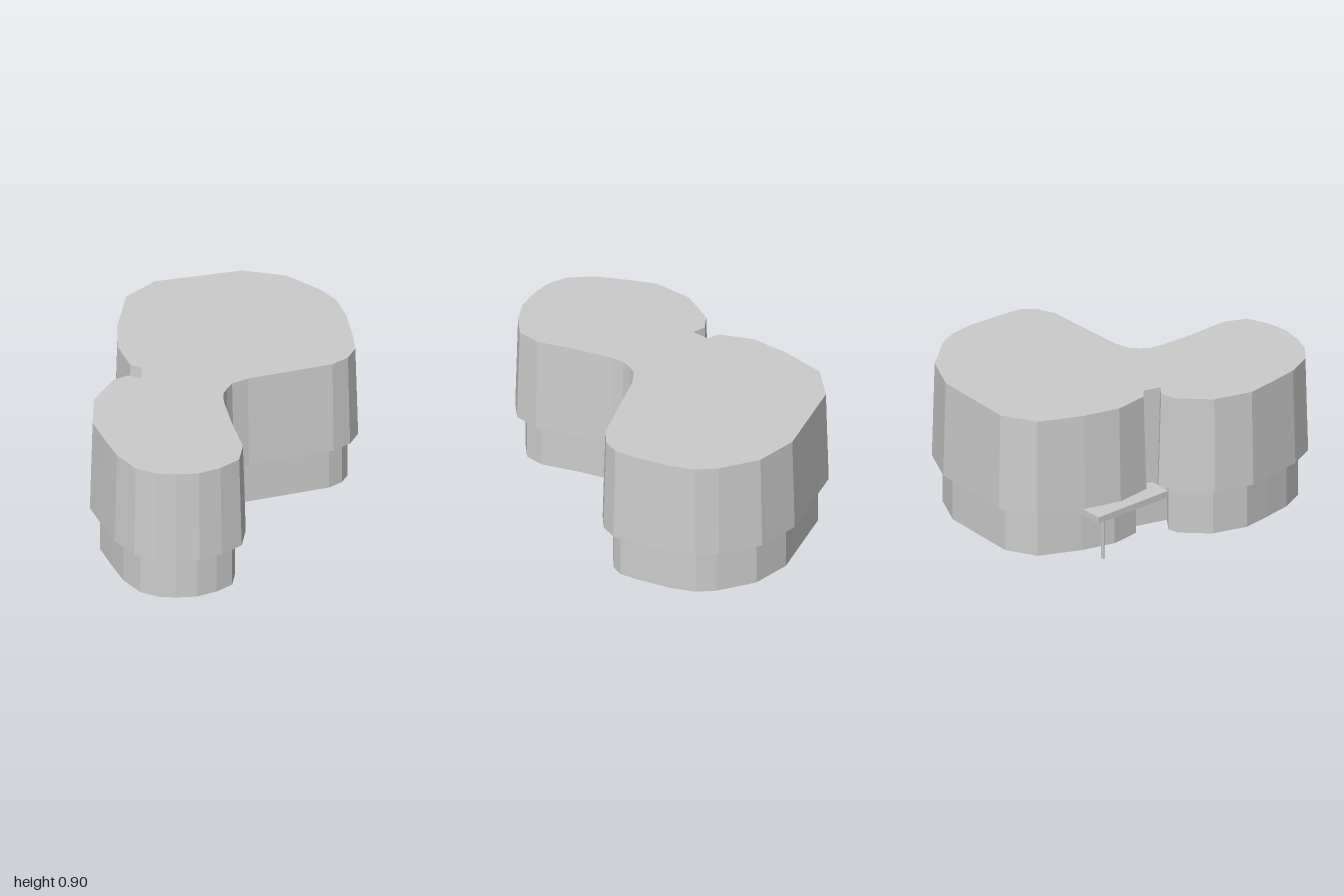
import * as THREE from 'three';

// Floor plan as [x, z] pairs: large rear lobe, inner corner, front lobe, side notch
const PLAN = [
  [-0.145, -1], [0.38, -0.98], [0.62, -0.865], [0.79, -0.66], [0.85, -0.53],
  [0.865, -0.37], [0.85, -0.16], [0.83, -0.02], [0.76, 0.065], [0.65, 0.11],
  [0.135, 0.13], [0.04, 0.155], [0, 0.195], [-0.03, 0.24], [-0.045, 0.31],
  [-0.055, 0.53], [-0.05, 0.775], [-0.11, 0.915], [-0.245, 0.975], [-0.385, 0.998],
  [-0.52, 0.975], [-0.635, 0.935], [-0.74, 0.85], [-0.815, 0.69], [-0.845, 0.51],
  [-0.87, 0.325], [-0.8, 0.09], [-0.64, -0.08], [-0.53, -0.11],
  [-0.475, -0.07], [-0.455, -0.14], [-0.51, -0.185],
  [-0.535, -0.4], [-0.475, -0.62], [-0.355, -0.885],
].map(([x, z]) => new THREE.Vector2(x, z));

// Moves every wall of the plan inwards by d, with mitred corners
function inset(points, d) {
  const n = points.length;
  const inward = (a, b) => {
    const e = b.clone().sub(a).normalize();
    return new THREE.Vector2(-e.y, e.x);
  };
  return points.map((p, i) => {
    const n1 = inward(points[(i + n - 1) % n], p);
    const n2 = inward(p, points[(i + 1) % n]);
    return n1.clone().add(n2).multiplyScalar(d / (1 + n1.dot(n2))).add(p);
  });
}

// Closed solid between two outlines with matching points
function loft(lower, y0, upper, y1) {
  const n = lower.length;
  const pos = [], index = [];
  lower.forEach((p) => pos.push(p.x, y0, p.y));
  upper.forEach((p) => pos.push(p.x, y1, p.y));
  for (let i = 0; i < n; i++) {
    const j = (i + 1) % n;
    index.push(i, n + i, j, j, n + i, n + j);
  }
  for (const [a, b, c] of THREE.ShapeUtils.triangulateShape(lower, [])) index.push(a, b, c);
  for (const [a, b, c] of THREE.ShapeUtils.triangulateShape(upper, [])) index.push(n + c, n + b, n + a);
  const indexed = new THREE.BufferGeometry();
  indexed.setAttribute('position', new THREE.Float32BufferAttribute(pos, 3));
  indexed.setIndex(index);
  const g = indexed.toNonIndexed();
  g.computeVertexNormals();
  return g;
}

export function createModel() {
  const group = new THREE.Group();
  const material = new THREE.MeshStandardMaterial({ color: 0xcccccc, flatShading: true });
  const add = (name, geometry, x = 0, y = 0, z = 0) => {
    const mesh = new THREE.Mesh(geometry, material);
    mesh.name = name;
    mesh.position.set(x, y, z);
    group.add(mesh);
  };

  // Recessed ground storey and the overhanging, slightly tapered upper storey
  const base = inset(PLAN, 0.06);
  add('groundStorey', loft(base, 0, base, 0.3));
  add('upperStorey', loft(PLAN, 0.3, inset(PLAN, 0.016), 0.9));

  // Entrance canopy beside the notch, held up by one thin post
  add('entranceCanopy', new THREE.BoxGeometry(0.18, 0.04, 0.53), -0.505, 0.27, -0.355);
  add('canopyPost', new THREE.CylinderGeometry(0.01, 0.01, 0.25, 8), -0.575, 0.125, -0.57);

  return group;
}
